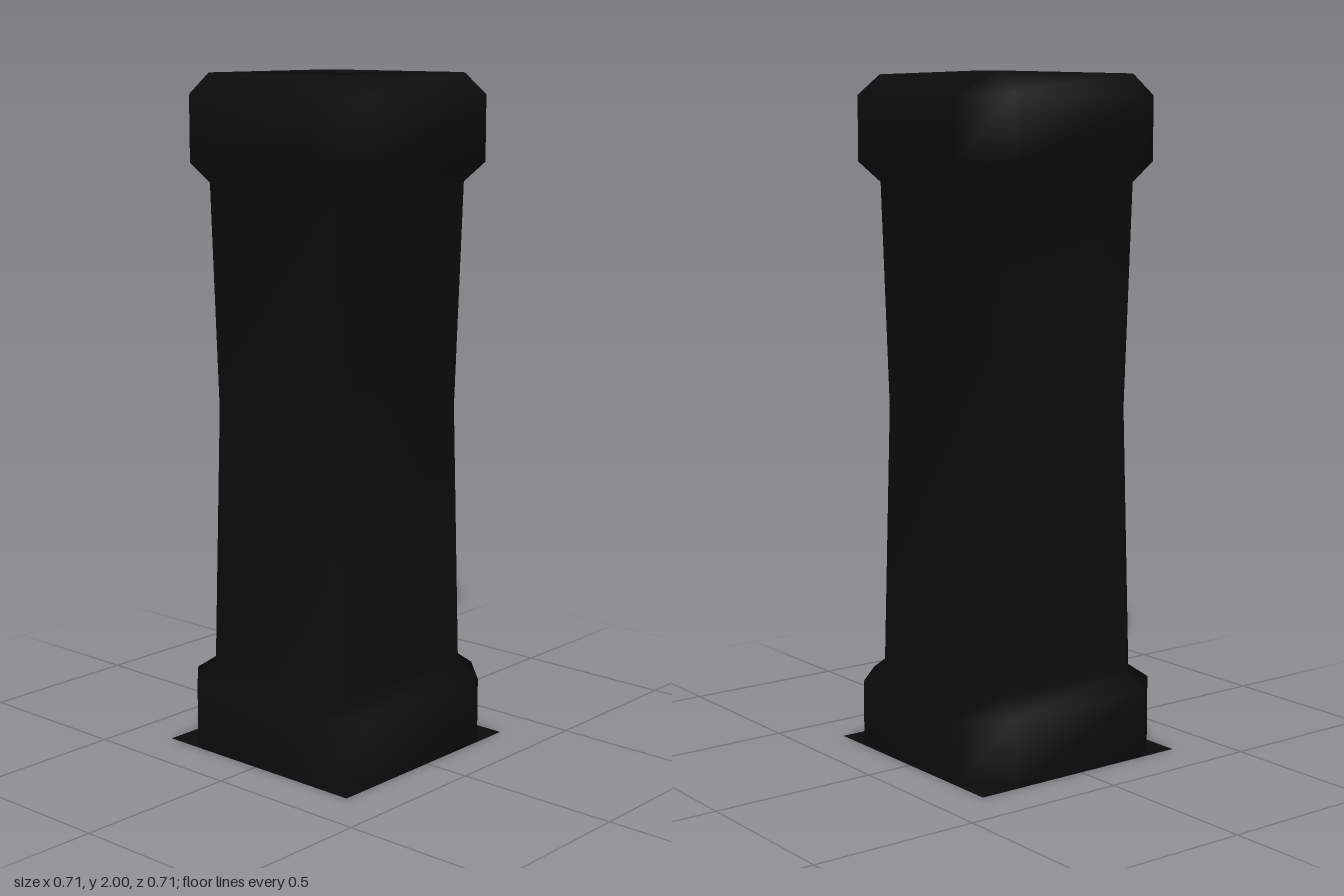
import * as THREE from 'three';

const material = new THREE.MeshStandardMaterial({ color: 0x0c0c0c });
const plateMaterial = new THREE.MeshStandardMaterial({ color: 0x0c0c0c, side: THREE.DoubleSide });

// Square ring of half width h with corners cut by c, at height y
function ring(h, c, y) {
  const k = h - c;
  return [[h, -k], [h, k], [k, h], [-k, h], [-h, k], [-h, -k], [-k, -h], [k, -h]]
    .flatMap(([x, z]) => [x, y, z]);
}

// Joins a run of [half width, corner cut, height] levels into one smooth skin
function loft(levels) {
  const index = [];
  for (let j = 0; j < levels.length - 1; j++) {
    for (let i = 0; i < 8; i++) {
      const a = j * 8 + i, b = j * 8 + (i + 1) % 8;
      index.push(a, a + 8, b, b, a + 8, b + 8);
    }
  }
  const geometry = new THREE.BufferGeometry();
  geometry.setAttribute('position', new THREE.Float32BufferAttribute(levels.flatMap((l) => ring(...l)), 3));
  geometry.setIndex(index);
  geometry.computeVertexNormals();
  return geometry;
}

function squarePath(path, h) {
  path.moveTo(-h, -h).lineTo(h, -h).lineTo(h, h).lineTo(-h, h).closePath();
  return path;
}

export function createModel() {
  const group = new THREE.Group();
  group.name = 'pillar';

  // Plinth, waisted shaft, capital and the square bore down the middle
  const column = new THREE.Mesh(loft([
    [0.356, 0.116, 0],
    [0.356, 0.116, 0.2],
    [0.28, 0.042, 0.25],
    [0.262, 0.035, 1.03],
    [0.28, 0.042, 1.69],
    [0.356, 0.116, 1.75],
    [0.356, 0.116, 1.94],
    [0.28, 0.042, 2],
    [0.05, 0, 2],
    [0.05, 0, 0],
  ]), material);
  column.name = 'column';
  group.add(column);

  // Thin square sheet under the plinth, open at the bore
  const outline = squarePath(new THREE.Shape(), 0.356);
  outline.holes.push(squarePath(new THREE.Path(), 0.05));
  const plate = new THREE.Mesh(new THREE.ShapeGeometry(outline).rotateX(-Math.PI / 2), plateMaterial);
  plate.name = 'basePlate';
  group.add(plate);

  return group;
}
